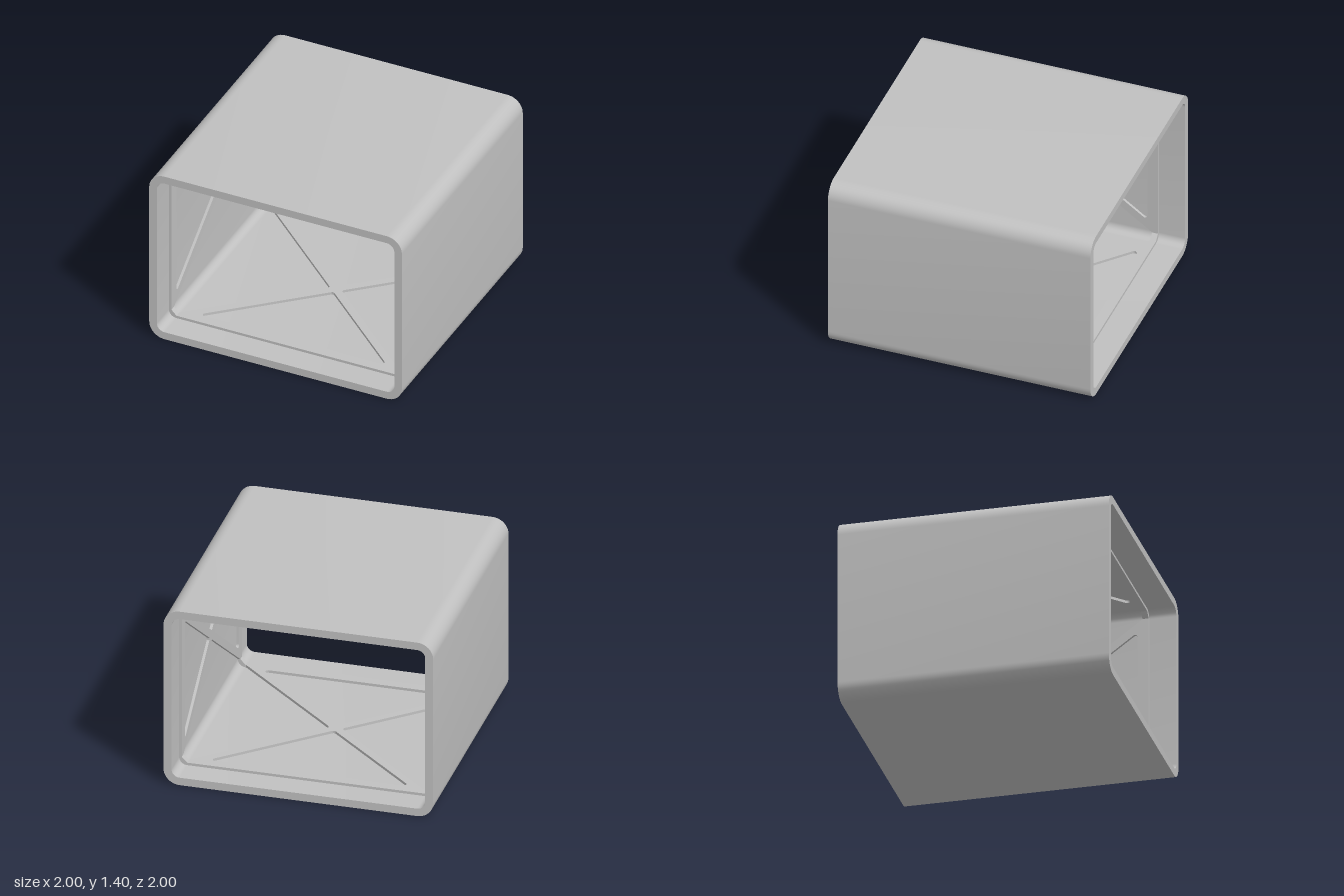
import * as THREE from 'three';
import { toCreasedNormals } from 'three/addons/utils/BufferGeometryUtils.js';

const HALF_W = 1, HALF_H = 0.7, WALL = 0.06, RIB_H = 0.02, SINK = 0.005;
const RING_OUT = 0.8, RING_IN = 0.72, RIB_END = 0.78, HALF_RIB = 0.03;

// Closed outline through [x, y, radius] points, rounding each corner
function trace(path, pts) {
  const n = pts.length;
  pts.forEach((p, i) => {
    const c = new THREE.Vector2(p[0], p[1]);
    const prev = pts[(i + n - 1) % n], next = pts[(i + 1) % n];
    const a = new THREE.Vector2(prev[0], prev[1]).sub(c).normalize();
    const b = new THREE.Vector2(next[0], next[1]).sub(c).normalize();
    const half = Math.acos(THREE.MathUtils.clamp(a.dot(b), -1, 1)) / 2;
    const r = p[2] || 0, d = r / Math.tan(half);
    const start = c.clone().addScaledVector(a, d);
    if (i === 0) path.moveTo(start.x, start.y);
    else path.lineTo(start.x, start.y);
    if (r > 0) {
      // True arc sampled between the two tangent points
      const centre = c.clone().addScaledVector(a.clone().add(b).normalize(), r / Math.sin(half));
      const end = c.clone().addScaledVector(b, d);
      const a0 = Math.atan2(start.y - centre.y, start.x - centre.x);
      let sweep = Math.atan2(end.y - centre.y, end.x - centre.x) - a0;
      if (sweep > Math.PI) sweep -= 2 * Math.PI;
      if (sweep < -Math.PI) sweep += 2 * Math.PI;
      for (let k = 1; k <= 10; k++) {
        const t = a0 + sweep * k / 10;
        path.lineTo(centre.x + r * Math.cos(t), centre.y + r * Math.sin(t));
      }
    }
  });
  path.closePath();
  return path;
}

const roundedRect = (path, w, h, r) => trace(path, [[w, h, r], [-w, h, r], [-w, -h, r], [w, -h, r]]);

function extrude(shape, depth) {
  return toCreasedNormals(new THREE.ExtrudeGeometry(shape, { depth, bevelEnabled: false }), 0.6);
}

// Raised rib plate for one wall: end strips joined by an X, open towards the wall corners
function ribPlate(halfSpan) {
  const U = halfSpan, E = halfSpan - 0.02, L = Math.hypot(E, RIB_END);
  const du = HALF_RIB * L / RIB_END, dv = HALF_RIB * L / E;
  const ze = U * RIB_END / E - dv;
  const shape = trace(new THREE.Shape(), [
    [U, RING_OUT], [-U, RING_OUT], [-U, ze], [-du, 0, 0.02], [-U, -ze], [-U, -RING_OUT],
    [U, -RING_OUT], [U, -ze], [du, 0, 0.02], [U, ze],
  ]);
  const tip = RING_IN * E / RIB_END - du;
  for (const s of [1, -1]) {
    shape.holes.push(trace(new THREE.Path(), [
      [0, s * dv, 0.02], [tip, s * RING_IN, 0.02], [-tip, s * RING_IN, 0.02],
    ]));
  }
  return extrude(shape, RIB_H + SINK);
}

export function createModel() {
  const model = new THREE.Group();
  model.name = 'ribbedSleeve';
  const grey = new THREE.MeshStandardMaterial({ color: 0xc0c0c0 });
  grey.name = 'grey';

  const add = (name, geometry, parent) => {
    const mesh = new THREE.Mesh(geometry, grey);
    mesh.name = name;
    parent.add(mesh);
    return mesh;
  };

  const body = new THREE.Group();
  body.name = 'body';
  body.position.y = HALF_H;
  model.add(body);

  // Rounded rectangular tube, open at both ends
  const section = roundedRect(new THREE.Shape(), HALF_W, HALF_H, 0.12);
  section.holes.push(roundedRect(new THREE.Path(), HALF_W - WALL, HALF_H - WALL, 0.06));
  add('shell', extrude(section, 2), body).position.z = -1;

  // X ribs on the floor, right wall, ceiling and left wall
  const names = ['floorRibs', 'leftWallRibs', 'ceilingRibs', 'rightWallRibs'];
  names.forEach((name, i) => {
    const upright = i % 2 === 1;
    const side = new THREE.Group();
    side.name = name + 'Side';
    side.rotation.z = i * Math.PI / 2;
    body.add(side);
    const plate = add(name, ribPlate((upright ? HALF_H : HALF_W) - 0.12), side);
    plate.rotation.x = -Math.PI / 2;
    plate.position.y = -((upright ? HALF_W : HALF_H) - WALL + SINK);
  });

  // Chamfered corner blocks that close the two rib rings
  for (const sx of [1, -1]) for (const sy of [1, -1]) {
    const corner = trace(new THREE.Shape(), [
      [0.88, 0.62], [0.92, 0.58], [0.945, 0.58], [0.945, 0.645], [0.88, 0.645],
    ].map(([x, y]) => [x * sx, y * sy]));
    const depth = 0.045;
    for (const end of [1, -1]) {
      add('ringCorner', extrude(corner, depth), body).position.z =
        end > 0 ? RING_OUT - depth : -RING_OUT;
    }
  }
  return model;
}
